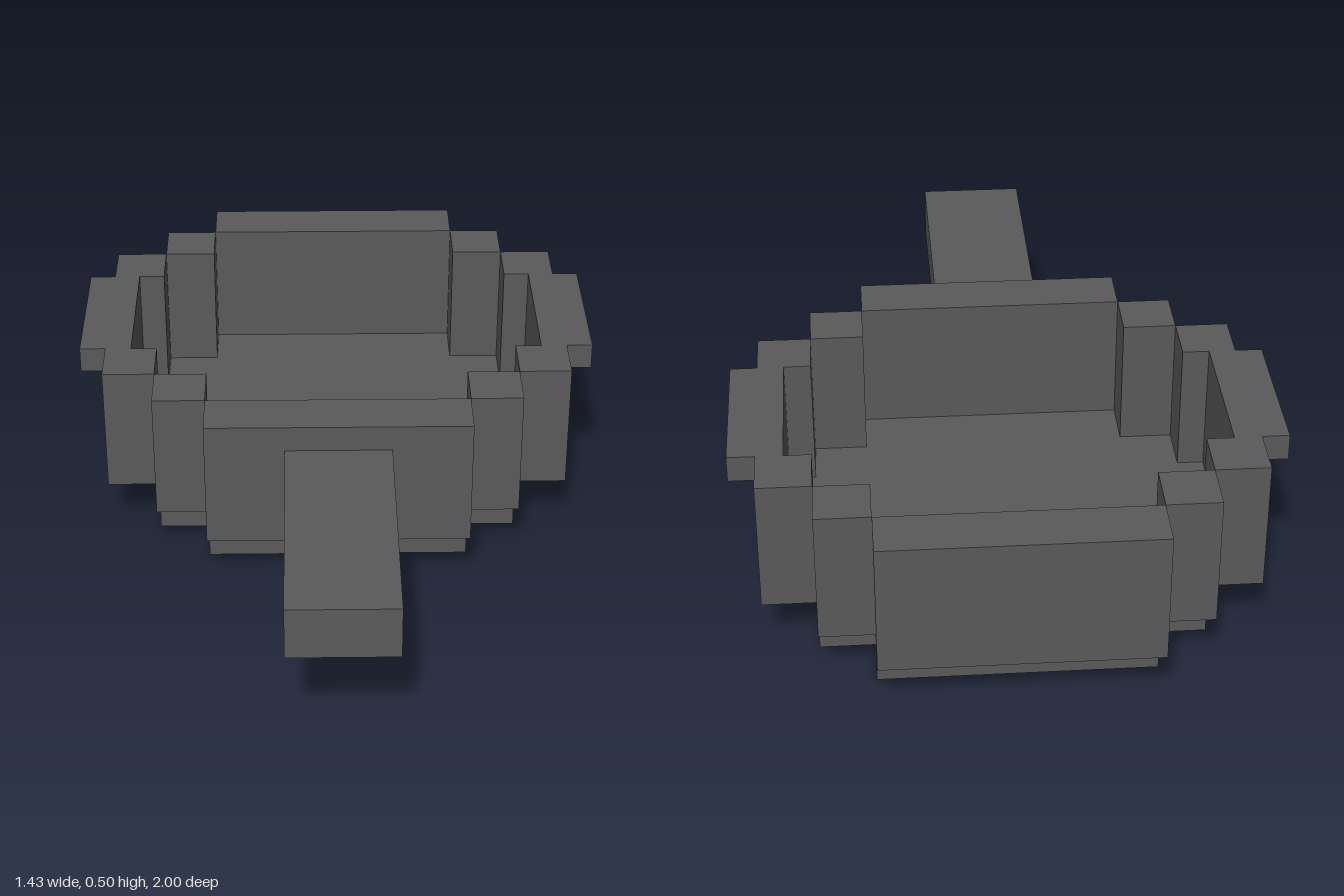
import * as THREE from 'three';

const U = 1 / 14;     // one block
const CZ = -5;        // bowl centre along z, in blocks

export function createModel() {
  const group = new THREE.Group();
  const iron = new THREE.MeshStandardMaterial({ color: 0x5a5a5a });
  iron.name = 'darkIron';

  const add = (name, geometry) => {
    const mesh = new THREE.Mesh(geometry, iron);
    mesh.name = name;
    group.add(mesh);
    return mesh;
  };

  // Box given by its limits in blocks
  const box = (name, x0, x1, y0, y1, z0, z1) => {
    add(name, new THREE.BoxGeometry((x1 - x0) * U, (y1 - y0) * U, (z1 - z0) * U))
      .position.set((x0 + x1) / 2 * U, (y0 + y1) / 2 * U, (z0 + z1) / 2 * U);
  };

  // Stepped outline mirrored from one quadrant's corners
  const outline = (quadrant) => {
    const back = [...quadrant].reverse();
    return [
      ...quadrant,
      ...back.map(([x, y]) => [-x, y]),
      ...quadrant.map(([x, y]) => [-x, -y]),
      ...back.map(([x, y]) => [x, -y]),
    ].map(([x, y]) => new THREE.Vector2(x * U, y * U));
  };

  const slab = (name, shape, y0, y1) => {
    const geometry = new THREE.ExtrudeGeometry(shape, { depth: (y1 - y0) * U, bevelEnabled: false });
    geometry.rotateX(-Math.PI / 2);
    add(name, geometry).position.set(0, y0 * U, CZ * U);
  };

  // Floor of the bowl
  slab('base', new THREE.Shape(outline([[7, 5], [5, 5], [5, 7]])), 0, 2);

  // Stepped wall, with a shallow recess inside each side
  const wall = new THREE.Shape(outline([[9, 5], [7, 5], [7, 7], [5, 7], [5, 9]]));
  wall.holes.push(new THREE.Path(outline([[8, 3], [7, 3], [7, 5], [5, 5], [5, 7]])));
  slab('wall', wall, 2, 7);

  // Side ledges under the recesses and lips on the rim
  for (const [side, s] of [['left', 1], ['right', -1]]) {
    const span = (a, b) => (s > 0 ? [a, b] : [-b, -a]);
    box(side + 'Ledge', ...span(7, 8), 1, 2, CZ - 3, CZ + 3);
    box(side + 'Lip', ...span(9, 10), 6, 7, CZ - 3, CZ + 3);
  }

  // Handle
  box('handle', -2, 2, 4, 6, 4, 14);

  return group;
}
